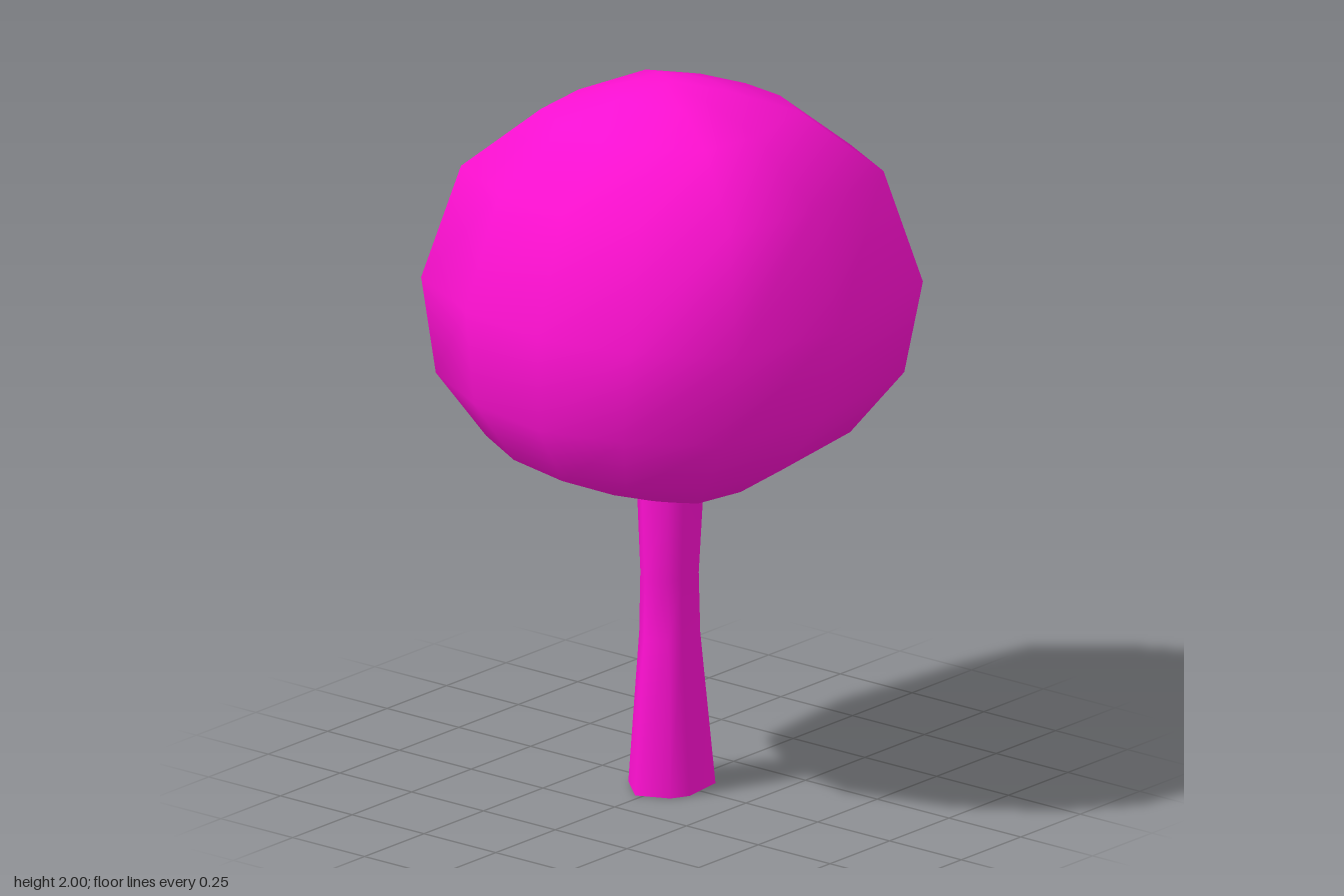
import * as THREE from 'three';

const material = new THREE.MeshStandardMaterial({ color: 0xff10d2, side: THREE.DoubleSide });

// Skin a stack of rings (bottom to top), each ring an [x, y, z] loop.
function loft(rings) {
  const n = rings[0].length;
  const index = [];
  for (let i = 0; i < rings.length - 1; i++) {
    for (let j = 0; j < n; j++) {
      const k = (j + 1) % n;
      const a = i * n + j, b = i * n + k, c = b + n, d = a + n;
      index.push(a, b, c, a, c, d);
    }
  }
  return { points: rings.flat(), index, n };
}

function makeGeometry(points, index) {
  const geometry = new THREE.BufferGeometry();
  geometry.setAttribute('position', new THREE.Float32BufferAttribute(points.flat(), 3));
  geometry.setIndex(index);
  geometry.computeVertexNormals();
  return geometry;
}

function createCrown() {
  // Widest outline, as x, z around the tree
  const outline = [
    [0.03, 0.61], [0.29, 0.54], [0.54, 0.39], [0.6, 0.03], [0.51, -0.43], [0.26, -0.57],
    [0, -0.61], [-0.28, -0.58], [-0.54, -0.45], [-0.6, 0.03], [-0.55, 0.4], [-0.28, 0.54],
  ];
  // Each level: height, scale in x, scale in z, shift in z
  const levels = [
    [0.83, 0.14, 0.13, 0.02], [0.89, 0.43, 0.41, 0.02], [0.99, 0.69, 0.78, 0.02],
    [1.16, 0.91, 0.97, 0.01], [1.42, 1, 1, 0], [1.735, 0.85, 0.83, 0],
    [1.905, 0.52, 0.51, 0.01], [1.965, 0.23, 0.24, 0.02],
  ];
  const { points, index, n } = loft(levels.map(([y, sx, sz, dz]) =>
    outline.map(([x, z]) => [x * sx, y, z * sz + dz])));

  // Close the top with an apex and the underside with a centre point
  const apex = points.push([0.01, 2, 0.03]) - 1;
  const base = points.push([-0.01, 0.83, 0.02]) - 1;
  const last = (levels.length - 1) * n;
  for (let j = 0; j < n; j++) {
    const k = (j + 1) % n;
    index.push(last + j, last + k, apex, k, j, base);
  }
  const mesh = new THREE.Mesh(makeGeometry(points, index), material);
  mesh.name = 'crown';
  return mesh;
}

function createTrunk() {
  // Uneven six-sided foot, narrowing upwards around the trunk's own axis
  const foot = [[-0.02, 0.14], [0.07, 0.1], [0.095, 0.05], [0.08, -0.077], [-0.09, -0.077], [-0.11, 0.06]];
  const cx = -0.008, cz = 0.03;
  const levels = [[0, 1], [0.43, 0.7], [0.6, 0.67], [0.85, 0.77]];
  const rings = levels.map(([y, s]) =>
    foot.map(([x, z]) => [cx + (x - cx) * s, y, cz + (z - cz) * s]));
  const { points, index } = loft(rings);
  const group = new THREE.Group();
  group.name = 'trunk';
  const bark = new THREE.Mesh(makeGeometry(points, index), material);
  bark.name = 'trunkSides';

  // Flat cap under the foot
  const capIndex = [];
  for (let j = 1; j < foot.length - 1; j++) capIndex.push(0, j + 1, j);
  const cap = new THREE.Mesh(makeGeometry(rings[0], capIndex), material);
  cap.name = 'trunkBase';
  group.add(bark, cap);
  return group;
}

export function createModel() {
  const tree = new THREE.Group();
  tree.name = 'tree';
  tree.add(createTrunk(), createCrown());
  return tree;
}
